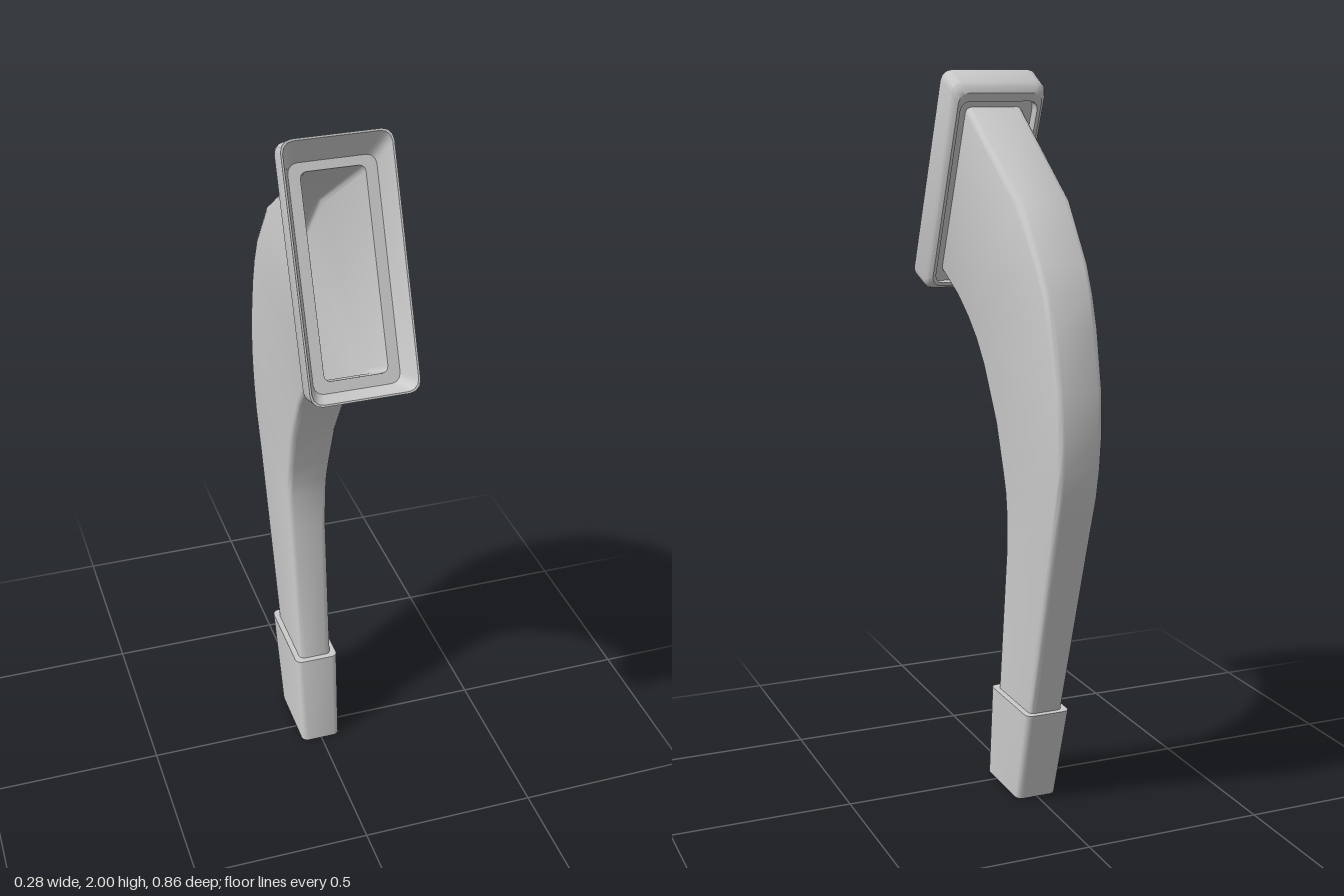
import * as THREE from 'three';
import { toCreasedNormals } from 'three/addons/utils/BufferGeometryUtils.js';

const CORNER = 3; // segments per rounded corner

// Rounded rectangle spanning low (z, y) to high (z, y), with half width w and corner radius r
function section(low, high, w, r) {
  const a = new THREE.Vector3(0, low[1], low[0]);
  const b = new THREE.Vector3(0, high[1], high[0]);
  const mid = a.clone().add(b).multiplyScalar(0.5);
  const h = a.distanceTo(b) / 2;
  const v = a.clone().sub(b).normalize();
  const pts = [];
  [[1, 1], [-1, 1], [-1, -1], [1, -1]].forEach(([sx, sy], q) => {
    for (let i = 0; i <= CORNER; i++) {
      const t = (q + i / CORNER) * Math.PI / 2;
      const p = mid.clone().addScaledVector(v, sy * (h - r) + r * Math.sin(t));
      p.x = sx * (w - r) + r * Math.cos(t);
      pts.push(p);
    }
  });
  return pts;
}

// Skin a row of sections, optionally closing the first one
function loft(rings, capStart = false) {
  const n = rings[0].length, pos = [], idx = [];
  rings.forEach(ring => ring.forEach(p => pos.push(p.x, p.y, p.z)));
  for (let j = 0; j < rings.length - 1; j++) {
    for (let i = 0; i < n; i++) {
      const a = j * n + i, b = j * n + (i + 1) % n;
      idx.push(a, a + n, b, b, a + n, b + n);
    }
  }
  if (capStart) for (let i = 1; i < n - 1; i++) idx.push(0, i, i + 1);
  const g = new THREE.BufferGeometry();
  g.setAttribute('position', new THREE.Float32BufferAttribute(pos, 3));
  g.setIndex(idx);
  return toCreasedNormals(g, 0.62);
}

export function createModel() {
  const group = new THREE.Group();
  const material = new THREE.MeshStandardMaterial({ color: 0xcccccc, side: THREE.DoubleSide });
  const add = (name, geometry) => {
    const mesh = new THREE.Mesh(geometry, material);
    mesh.name = name;
    group.add(mesh);
  };

  // Curved hollow duct: front point, back point (z, y), half width
  const duct = [
    [[0.034, 0.15], [-0.181, 0.15], 0.047],
    [[0.013, 0.275], [-0.218, 0.275], 0.048],
    [[-0.058, 0.70], [-0.375, 0.80], 0.055],
    [[-0.064, 0.81], [-0.41, 0.92], 0.058],
    [[-0.060, 0.86], [-0.425, 1.0], 0.059],
    [[-0.046, 0.92], [-0.43, 1.08], 0.061],
    [[-0.005, 1.05], [-0.423, 1.2], 0.064],
    [[0.075, 1.20], [-0.383, 1.357], 0.068],
    [[0.125, 1.265], [-0.352, 1.44], 0.07],
    [[0.18, 1.32], [-0.31, 1.515], 0.073],
    [[0.25, 1.375], [-0.186, 1.67], 0.077],
    [[0.35, 1.431], [0.147, 1.90], 0.083],
  ];
  add('duct', loft(duct.map(([f, b, w]) => section(f, b, w, 0.016))));

  // Tilted collar around the mouth: depth, half width, half height, shift along the face, radius
  const tilt = Math.atan2(0.397, 0.918), s = Math.sin(tilt), c = Math.cos(tilt);
  const collar = [
    [0.066, 0.113, 0.282, -0.018, 0.025],
    [0.100, 0.113, 0.280, -0.008, 0.025],
    [0.101, 0.122, 0.297, 0, 0.028],
    [0.092, 0.132, 0.308, 0, 0.03],
    [0.075, 0.138, 0.318, 0, 0.03],
    [0.000, 0.142, 0.321, 0, 0.03],
    [0.000, 0.137, 0.316, 0, 0.028],
    [0.066, 0.113, 0.282, -0.018, 0.025],
    [0.066, 0.083, 0.2555, -0.015, 0.016],
  ];
  add('mouthCollar', loft(collar.map(([d, w, h, o, r]) => {
    const at = t => [0.3025 - d * c - t * s, 1.705 - d * s + t * c];
    return section(at(o - h), at(o + h), w, r);
  })));

  // Sleeve at the foot, closed underneath and stepped in to the duct
  add('footSleeve', loft([
    section([0.072, 0], [-0.155, 0], 0.058, 0.018),
    section([0.030, 0.275], [-0.235, 0.275], 0.064, 0.018),
    section([0.012, 0.275], [-0.217, 0.275], 0.047, 0.014),
  ], true));

  return group;
}
